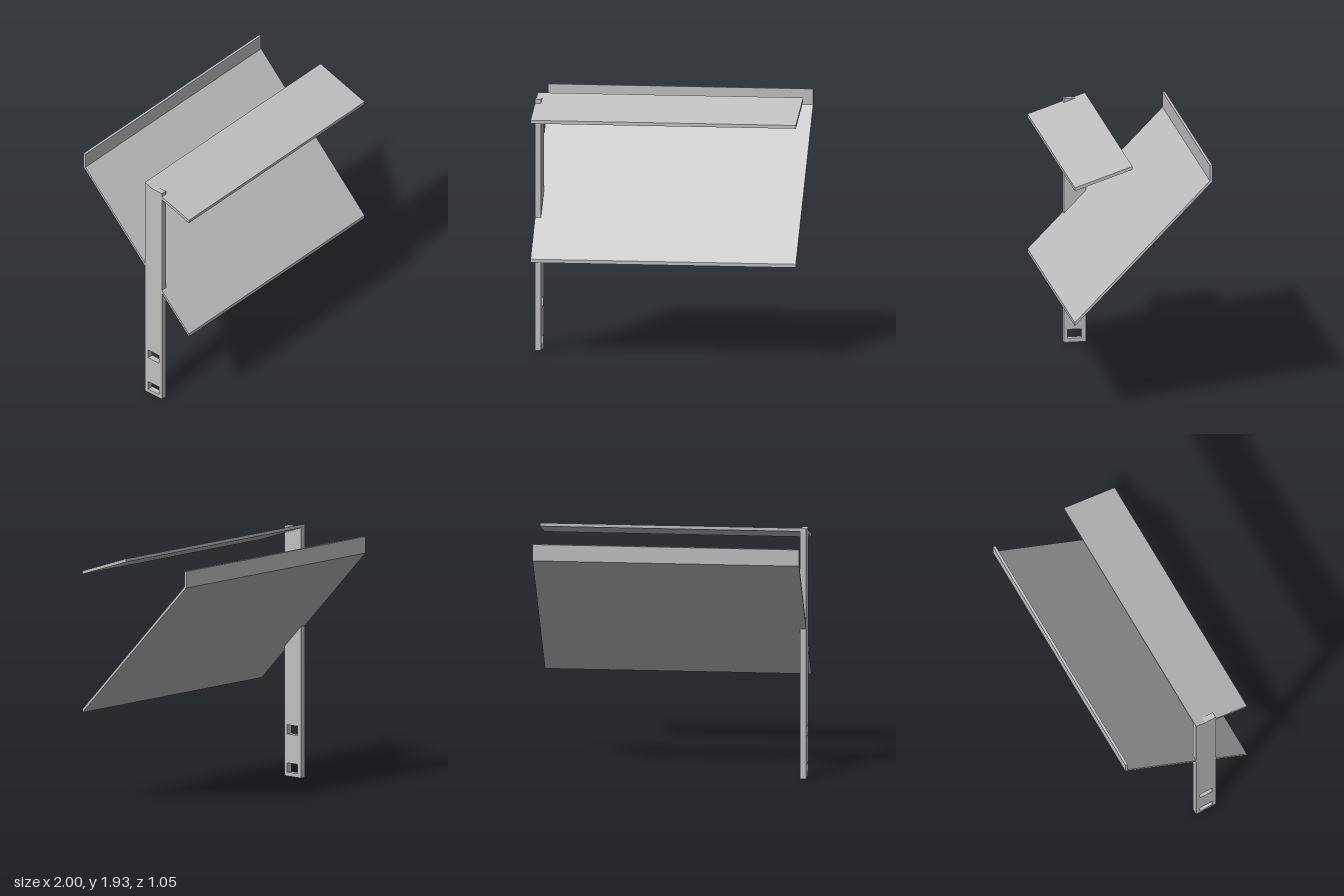
import * as THREE from 'three';

// Extrudes a side profile of [z, y] points along x, from xMin to xMax.
function profilePart(name, points, xMin, xMax, material, holes = []) {
  const toVectors = (list) => list.map(([z, y]) => new THREE.Vector2(z, y));
  const shape = new THREE.Shape(toVectors(points));
  for (const hole of holes) shape.holes.push(new THREE.Path(toVectors(hole)));
  const geometry = new THREE.ExtrudeGeometry(shape, { depth: xMax - xMin, bevelEnabled: false });
  geometry.rotateY(-Math.PI / 2);
  geometry.translate(xMax, 0, 0);
  const mesh = new THREE.Mesh(geometry, material);
  mesh.name = name;
  return mesh;
}

const rect = (z0, z1, y0, y1) => [[z0, y0], [z1, y0], [z1, y1], [z0, y1]];

export function createModel() {
  const group = new THREE.Group();
  group.name = 'slantedShelf';
  const grey = new THREE.MeshStandardMaterial({ color: 0xc0c0c0 });
  grey.name = 'grey metal';

  // Upright post with two mounting slots near the foot
  const slots = [0.03, 0.32].map((y) => rect(0.12, 0.225, y, y + 0.07));
  group.add(profilePart('post', rect(0.086, 0.255, 0, 1.9), -1, -0.955, grey, slots));

  // Narrow roof sloping down to the front
  group.add(profilePart('roof', [
    [0.523, 1.757], [0.523, 1.782], [0.086, 1.926], [0.086, 1.901],
  ], -1, 1, grey));

  // Large sloping panel with an upright lip along its back edge
  group.add(profilePart('slopingPanel', [
    [0.523, 0.706], [0.523, 0.732], [-0.503, 1.783],
    [-0.503, 1.902], [-0.523, 1.902], [-0.523, 1.777],
  ], -1, 1, grey));

  return group;
}
